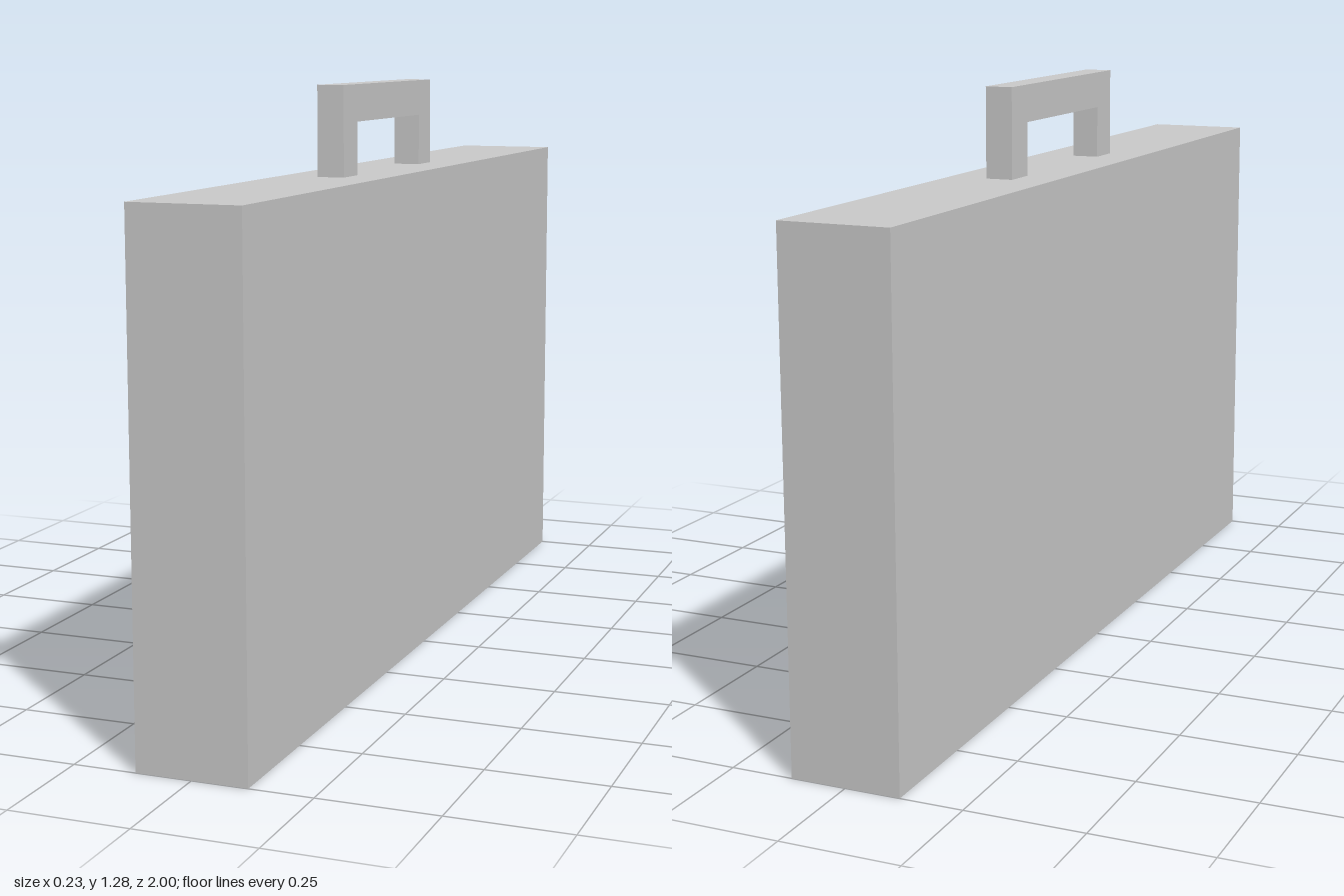
import * as THREE from 'three';

export function createModel() {
  const model = new THREE.Group();
  model.name = 'briefcase';
  const material = new THREE.MeshStandardMaterial({ color: 0xcccccc, flatShading: true });

  // Slim rectangular case
  const height = 1.09;
  const body = new THREE.Mesh(new THREE.BoxGeometry(0.235, height, 2), material);
  body.name = 'caseBody';
  body.position.y = height / 2;
  model.add(body);

  // Square arch handle: side outline extruded across the width
  const outer = 0.28, inner = 0.2, rise = 0.195, gap = 0.115, width = 0.06;
  const arch = new THREE.Shape([
    [-outer, 0], [-inner, 0], [-inner, gap], [inner, gap],
    [inner, 0], [outer, 0], [outer, rise], [-outer, rise],
  ].map(([x, y]) => new THREE.Vector2(x, y)));
  const handleGeometry = new THREE.ExtrudeGeometry(arch, { depth: width, bevelEnabled: false });
  handleGeometry.translate(0, 0, -width / 2).rotateY(Math.PI / 2);
  const handle = new THREE.Mesh(handleGeometry, material);
  handle.name = 'handle';
  handle.position.y = height;
  model.add(handle);

  return model;
}
